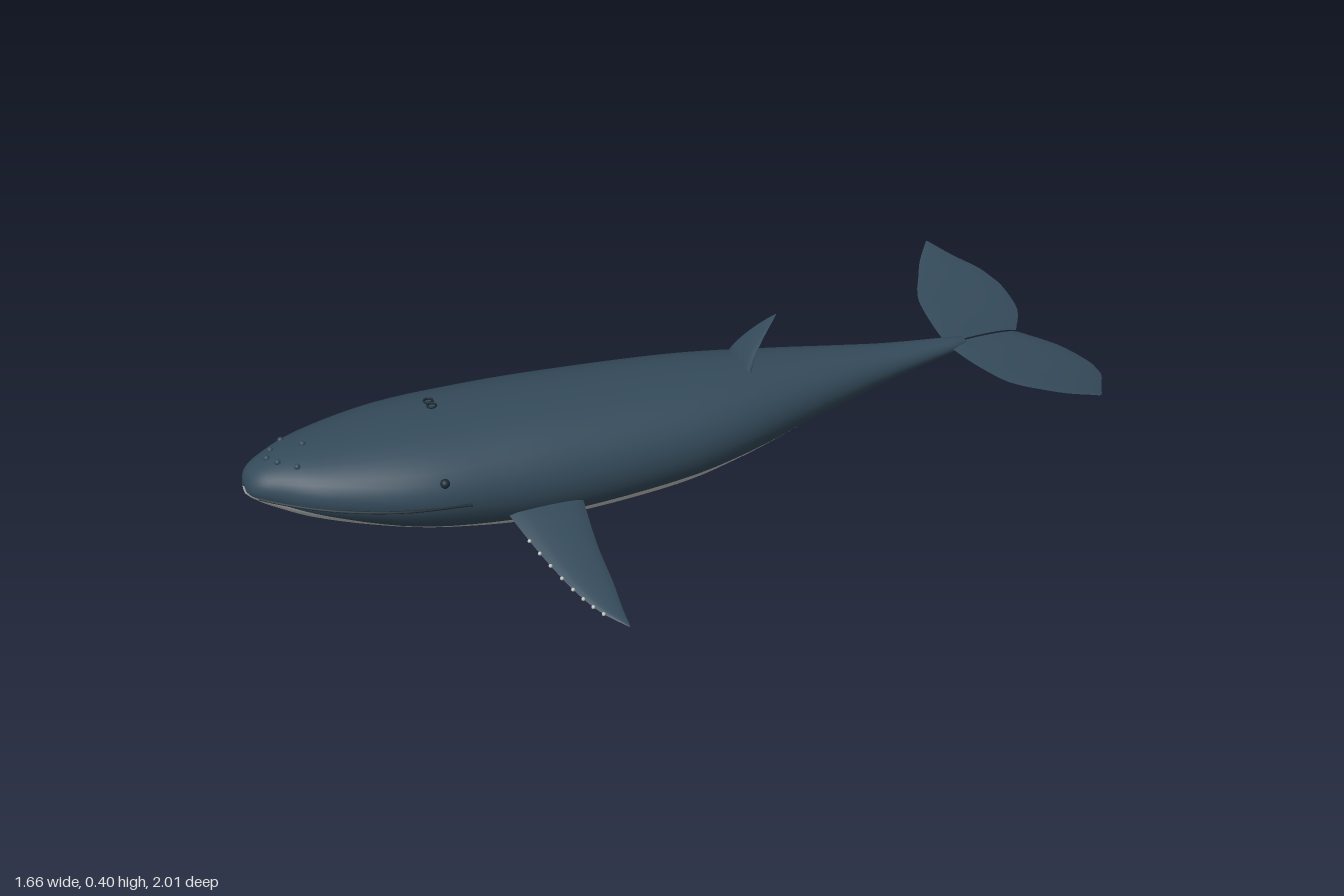
import * as THREE from 'three';

const paint = (name, color) => Object.assign(new THREE.MeshStandardMaterial({ color }), { name });
const slate = paint('slate skin', 0x344a5a);
const pale = paint('pale belly', 0xc4c6c4);
const dark = paint('dark detail', 0x1c2a34);

const clamp = THREE.MathUtils.clamp;
const SPAN = 5; // rings between body sections

// Body sections, nose to tail: z, half width, top, bottom, belly colour line
const sections = [
  [1.235, 0.02, 0.25, 0.215, 0.226],
  [1.222, 0.05, 0.272, 0.205, 0.222],
  [1.18, 0.085, 0.295, 0.18, 0.215],
  [1.07, 0.155, 0.318, 0.135, 0.185],
  [0.86, 0.222, 0.338, 0.075, 0.125],
  [0.64, 0.234, 0.343, 0.03, 0.1],
  [0.44, 0.23, 0.338, 0.013, 0.092],
  [0.17, 0.21, 0.322, 0.022, 0.1],
  [-0.01, 0.178, 0.307, 0.05, 0.11],
  [-0.2, 0.125, 0.285, 0.092, 0.125],
  [-0.35, 0.085, 0.265, 0.125, 0.15],
  [-0.5, 0.052, 0.245, 0.157, 0.18],
  [-0.71, 0.018, 0.225, 0.195, 0.205],
];

// Smooth interpolation through rows of numbers
function spline(rows) {
  const columns = rows[0].map((_, k) =>
    new THREE.CatmullRomCurve3(rows.map((r) => new THREE.Vector3(r[k], 0, 0)), false, 'catmullrom', 0.5));
  return (t) => columns.map((c) => c.getPoint(t).x);
}
const bodyAt = spline(sections);

// Body section at a given z
function sectionAt(z) {
  let lo = 0, hi = 1;
  for (let k = 0; k < 24; k++) {
    const mid = (lo + hi) / 2;
    if (bodyAt(mid)[0] > z) lo = mid; else hi = mid;
  }
  return bodyAt(lo);
}

// Skin point at height y (side) or at offset x (up = 1 back, -1 belly)
function sidePoint(z, y, side, out = 0) {
  const [, w, top, bot] = sectionAt(z);
  const s = clamp((y - (top + bot) / 2) / ((top - bot) / 2), -1, 1);
  return new THREE.Vector3(side * (w * Math.sqrt(1 - s * s) + out), y, z);
}
function facePoint(z, x, up) {
  const [, w, top, bot] = sectionAt(z);
  const c = Math.sqrt(1 - clamp(x / w, -1, 1) ** 2);
  return new THREE.Vector3(x, (top + bot) / 2 + up * c * (top - bot) / 2, z);
}

// Grid surface; pick() sorts its quads into two material groups
function grid(fn, nu, nv, { flip = false, wrap = false, pick = () => 0 } = {}) {
  const pos = [], lists = [[], []], cols = wrap ? nv : nv + 1;
  for (let i = 0; i <= nu; i++) for (let j = 0; j < cols; j++) pos.push(...fn(i, j));
  for (let i = 0; i < nu; i++) for (let j = 0; j < nv; j++) {
    const j2 = (j + 1) % cols;
    const a = i * cols + j, b = (i + 1) * cols + j, c = (i + 1) * cols + j2, d = i * cols + j2;
    lists[pick(i, j)].push(...(flip ? [a, c, b, a, d, c] : [a, b, c, a, c, d]));
  }
  const g = new THREE.BufferGeometry();
  g.setAttribute('position', new THREE.Float32BufferAttribute(pos, 3));
  g.setIndex([...lists[0], ...lists[1]]);
  g.addGroup(0, lists[0].length, 0);
  if (lists[1].length) g.addGroup(lists[0].length, lists[1].length, 1);
  g.computeVertexNormals();
  return g;
}

function add(parent, name, geometry, material, at) {
  const mesh = new THREE.Mesh(geometry, material);
  mesh.name = name;
  if (at) mesh.position.copy(at);
  parent.add(mesh);
  return mesh;
}

// Flat fin: slate upper face, pale lower face. Rows: x, lead z, trail z, y, half thickness
function addFin(parent, name, rows, side) {
  const at = spline(rows), NU = 24, NV = 10;
  const face = (up) => grid((i, j) => {
    const [x, lead, trail, y, th] = at(i / NU), v = j / NV;
    const lens = th * Math.sqrt(Math.sin(Math.PI * clamp(v, 0, 1)) + 1e-9);
    return [side * x, y + up * lens, lead + (trail - lead) * v];
  }, NU, NV, { flip: side * up < 0 });
  add(parent, name + 'Top', face(1), slate);
  add(parent, name + 'Underside', face(-1), pale);
  return at;
}

export function createModel() {
  const model = new THREE.Group();
  model.name = 'whale';
  model.rotation.y = -0.595;
  const whale = new THREE.Group();
  whale.name = 'whaleParts';
  whale.position.x = -0.05;
  model.add(whale);

  // Body with pale belly, closed at nose and tail
  const BACK = 26, BELLY = 14, RINGS = (sections.length - 1) * SPAN;
  add(whale, 'body', grid((i, j) => {
    const [z, w, top, bot, seam] = bodyAt(clamp(i - 1, 0, RINGS) / RINGS);
    const k = i === 0 || i === RINGS + 2 ? 0 : 1;
    const cy = (top + bot) / 2, ry = (top - bot) / 2;
    const phi = Math.asin(clamp((seam - cy) / ry, -0.95, 0.95));
    const a = j <= BACK
      ? phi + (Math.PI - 2 * phi) * j / BACK
      : Math.PI - phi + (Math.PI + 2 * phi) * (j - BACK) / BELLY;
    return [k * w * Math.cos(a), cy + k * ry * Math.sin(a), z];
  }, RINGS + 2, BACK + BELLY, {
    wrap: true, pick: (i, j) => (j >= BACK && i <= 9 * SPAN ? 1 : 0),
  }), [slate, pale]);

  // Dorsal fin: broad across the back, curling backwards to a point
  add(whale, 'dorsalFin', grid((i, j) => {
    const t = i / 14, a = j / 16 * Math.PI * 2;
    const w = 0.076 * (1 - t) ** 0.85, d = 0.014 * (1 - t);
    return [w * Math.cos(a), 0.268 + 0.138 * t ** 0.85, -0.06 - 0.108 * t ** 1.4 + d * Math.sin(a)];
  }, 14, 16, { wrap: true, flip: true }).rotateY(0), slate).material.side = THREE.DoubleSide;

  const bump = new THREE.SphereGeometry(0.008, 10, 8);
  for (const side of [1, -1]) {
    const word = side > 0 ? 'left' : 'right';

    // Flippers with bumps on the leading edge
    const flipper = addFin(whale, word + 'Flipper', [
      [0.16, 0.65, 0.44, 0.14, 0.016], [0.25, 0.635, 0.455, 0.115, 0.014],
      [0.36, 0.61, 0.47, 0.08, 0.011], [0.47, 0.577, 0.476, 0.045, 0.008],
      [0.55, 0.54, 0.484, 0.02, 0.005], [0.615, 0.492, 0.489, 0.004, 0.001],
    ], side);
    for (let k = 0; k < 8; k++) {
      const [x, lead, , y] = flipper(0.3 + k * 0.075);
      add(whale, word + 'FlipperBump', new THREE.SphereGeometry(0.005, 8, 6), pale,
        new THREE.Vector3(side * x, y, lead));
    }

    // Tail flukes
    addFin(whale, word + 'Fluke', [
      [0.004, -0.665, -0.87, 0.208, 0.01], [0.11, -0.68, -0.932, 0.207, 0.009],
      [0.23, -0.7, -0.952, 0.215, 0.007], [0.29, -0.722, -0.945, 0.222, 0.006],
      [0.34, -0.75, -0.93, 0.23, 0.005], [0.41, -0.79, -0.888, 0.244, 0.003],
      [0.479, -0.843, -0.849, 0.262, 0.001],
    ], side);

    // Eye
    add(whale, word + 'Eye', new THREE.SphereGeometry(0.012, 14, 10), dark, sidePoint(0.8, 0.252, side));

    // Mouth line
    const lip = [[1.215, 0.222], [1.16, 0.216], [1.05, 0.207], [0.9, 0.197], [0.74, 0.19]]
      .map(([z, y]) => sidePoint(z, y, side, 0.001));
    add(whale, word + 'MouthLine',
      new THREE.TubeGeometry(new THREE.CatmullRomCurve3(lip), 32, 0.004, 6), dark);

    // Throat pleats
    for (const x of [0.05, 0.1]) {
      const line = [0.62, 0.54, 0.46, 0.38].map((z) => facePoint(z, side * x, -1));
      add(whale, word + 'ThroatPleat',
        new THREE.TubeGeometry(new THREE.CatmullRomCurve3(line), 12, 0.0015, 5), dark);
    }

    // Blowhole
    const hole = add(whale, word + 'Blowhole', new THREE.TorusGeometry(0.011, 0.003, 6, 14), dark,
      new THREE.Vector3(side * 0.013, 0.355, 0.76));
    hole.rotation.x = Math.PI / 2;

    // Paired head bumps
    for (const [x, z] of [[0.07, 1.12], [0.032, 1.157]])
      add(whale, word + 'HeadBump', bump, slate, facePoint(z, side * x, 1));
  }

  // Centre head bumps
  for (const z of [1.085, 1.175]) add(whale, 'centreHeadBump', bump, slate, facePoint(z, 0, 1));

  return model;
}
